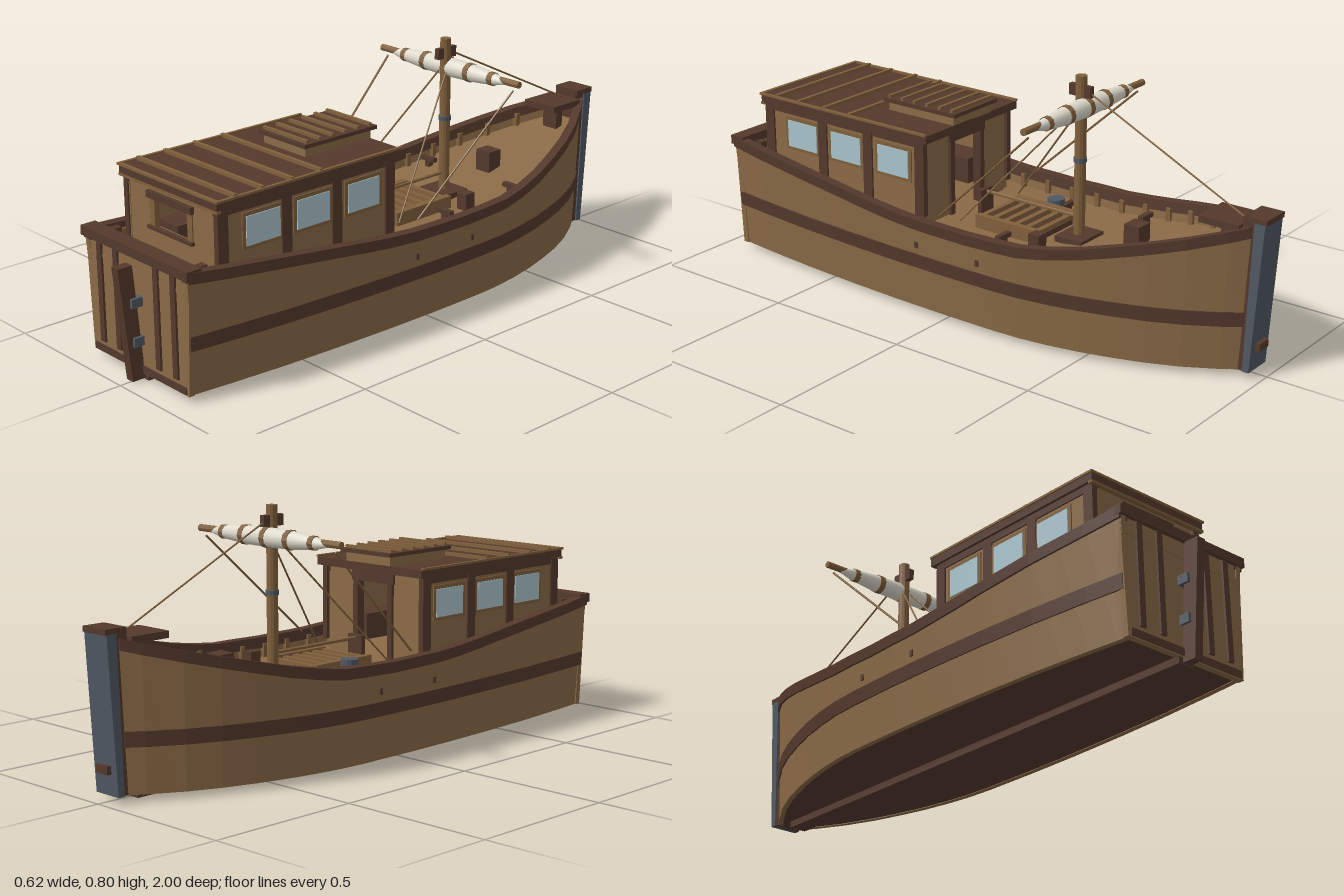
import * as THREE from 'three';

const mat = (name, color) => {
  const m = new THREE.MeshStandardMaterial({ color });
  m.name = name;
  m.flatShading = true;
  return m;
};

export function createModel() {
  const boat = new THREE.Group();
  boat.name = 'woodenBoat';
  const tan = mat('planking', 0x8a6a46);
  const dark = mat('darkTimber', 0x54392c);
  const spar = mat('sparWood', 0x80603c);
  const iron = mat('iron', 0x505862);
  const canvas = mat('canvas', 0xdedacd);
  const glass = mat('glass', 0xa9c4cc);

  const add = (name, geo, m, x = 0, y = 0, z = 0, parent = boat) => {
    const mesh = new THREE.Mesh(geo, m);
    mesh.name = name;
    mesh.position.set(x, y, z);
    parent.add(mesh);
    return mesh;
  };
  // Box from its ranges on each axis
  const box = (name, m, x0, x1, y0, y1, z0, z1) => add(name, new THREE.BoxGeometry(x1 - x0, y1 - y0, z1 - z0),
    m, (x0 + x1) / 2, (y0 + y1) / 2, (z0 + z1) / 2);
  // Box pair mirrored across x
  const pair = (name, m, x0, x1, ...r) => {
    box(name, m, x0, x1, ...r);
    box(name, m, -x1, -x0, ...r);
  };
  const rod = (name, m, a, b, r, sides = 6) => {
    const p = new THREE.Vector3(...a), q = new THREE.Vector3(...b), d = q.clone().sub(p);
    const mesh = add(name, new THREE.CylinderGeometry(r, r, d.length(), sides), m);
    mesh.position.copy(p).add(q).multiplyScalar(0.5);
    mesh.quaternion.setFromUnitVectors(new THREE.Vector3(0, 1, 0), d.normalize());
    return mesh;
  };
  // Side profile of [z, y] points, extruded across x
  const slab = (name, m, pts, width) => {
    const g = new THREE.ExtrudeGeometry(new THREE.Shape(pts.map(p => new THREE.Vector2(...p))), { depth: width, bevelEnabled: false });
    g.translate(0, 0, -width / 2).rotateY(-Math.PI / 2);
    return add(name, g, m);
  };

  // Hull lines: half width and sheer height along z
  const table = (rows) => (z) => {
    let i = 0;
    while (i < rows.length - 2 && z > rows[i + 1][0]) i++;
    const [a, b] = [rows[i], rows[i + 1]];
    return a[1] + (b[1] - a[1]) * (z - a[0]) / (b[0] - a[0]);
  };
  const half = table([[-0.95, 0.045], [-0.9, 0.083], [-0.8, 0.145], [-0.7, 0.192], [-0.6, 0.228], [-0.5, 0.258],
    [-0.4, 0.28], [-0.3, 0.295], [-0.2, 0.301], [0, 0.303], [0.2, 0.3], [0.4, 0.292], [0.6, 0.28], [0.8, 0.261], [0.93, 0.246]]);
  const sheer = table([[-0.95, 0.475], [-0.9, 0.46], [-0.75, 0.42], [-0.6, 0.385], [-0.45, 0.35], [-0.3, 0.33],
    [-0.1, 0.325], [0.1, 0.328], [0.25, 0.338], [0.4, 0.355], [0.6, 0.375], [0.8, 0.392], [0.93, 0.405]]);
  const stations = [-0.95, -0.9];
  for (let i = -8; i <= 9; i++) stations.push(i / 10);
  stations.push(0.93);
  const deckY = (z) => sheer(z) - 0.065;
  const hullPoint = (z, y, out) => {
    const t = y / sheer(z);
    return [Math.max(0.005, half(z) * (0.91 + 0.09 * t) + out), y, z * (0.98 + 0.02 * t)];
  };

  // Joins rings of points; closed rings get end caps
  const loft = (name, m, rings) => {
    const pos = [], n = rings[0].length;
    const quad = (a, b, c, d) => pos.push(...a, ...b, ...c, ...a, ...c, ...d);
    for (let i = 0; i + 1 < rings.length; i++)
      for (let j = 0; j < n; j++) {
        const k = (j + 1) % n;
        quad(rings[i][j], rings[i][k], rings[i + 1][k], rings[i + 1][j]);
      }
    quad(...[...rings[0]].reverse());
    quad(...rings[rings.length - 1]);
    const g = new THREE.BufferGeometry();
    g.setAttribute('position', new THREE.Float32BufferAttribute(pos, 3));
    g.computeVertexNormals();
    return add(name, g, m);
  };
  // Strake following the hull, mirrored to both sides
  const strake = (name, m, low, high, inner, outer) => [1, -1].forEach(s => loft(name, m, stations.map(z => {
    const ring = [hullPoint(z, low(z), inner), hullPoint(z, low(z), outer), hullPoint(z, high(z), outer), hullPoint(z, high(z), inner)]
      .map(([x, y, w]) => [x * s, y, w]);
    return s > 0 ? ring : ring.reverse();
  })));
  // Full-width floor following the hull
  const floor = (name, m, y, thick, inset) => loft(name, m, stations.map(z => {
    const [x, , w] = hullPoint(z, y(z), -inset);
    return [[-x, y(z) - thick, w], [x, y(z) - thick, w], [x, y(z), w], [-x, y(z), w]];
  }));
  strake('hullSide', tan, () => 0.02, z => sheer(z) - 0.01, -0.018, 0);
  strake('wale', dark, () => 0.16, () => 0.206, -0.01, 0.005);
  strake('gunwale', dark, z => sheer(z) - 0.035, sheer, -0.026, 0.007);
  floor('hullBottom', dark, () => 0.035, 0.013, 0.004);
  floor('deck', tan, deckY, 0.012, 0.012);
  box('keel', dark, -0.03, 0.03, 0, 0.024, -0.88, 0.92);

  // Deck seams and bulwark ribs
  for (let z = -0.8; z < 0.9; z += 0.1) {
    const x = half(z) - 0.035;
    pair('rib', spar, x, x + 0.02, deckY(z), sheer(z) - 0.02, z - 0.008, z + 0.008);
  }

  // Transom with battens, rail and rudder
  const tr = new THREE.Shape([[-0.23, 0.02], [0.23, 0.02], [0.246, 0.395], [-0.246, 0.395]].map(p => new THREE.Vector2(...p)));
  add('transom', new THREE.ExtrudeGeometry(tr, { depth: 0.02, bevelEnabled: false }), tan, 0, 0, 0.905);
  box('transomRail', dark, -0.254, 0.254, 0.38, 0.41, 0.885, 0.938);
  box('transomFoot', dark, -0.22, 0.22, 0.024, 0.046, 0.915, 0.929);
  [0.085, 0.165].forEach(x => pair('transomBatten', dark, x, x + 0.022, 0.06, 0.378, 0.92, 0.932));
  slab('rudder', dark, [[0.92, 0.005], [0.965, 0.005], [1, 0.365], [0.95, 0.365]], 0.03);
  [0.128, 0.25].forEach(y => {
    box('pintle', iron, -0.025, 0.025, y - 0.014, y + 0.014, 0.92, 0.955 + y * 0.03);
  });
  pair('sternBitt', dark, 0.19, 0.215, 0.33, 0.395, 0.835, 0.86);

  // Stem post, iron facing, fairlead and bow platform
  slab('stem', dark, [[-0.955, 0.02], [-0.92, 0.02], [-0.92, 0.5], [-0.968, 0.5]], 0.09);
  slab('stemFacing', iron, [[-0.965, 0.02], [-0.943, 0.02], [-0.96, 0.49], [-0.995, 0.49]], 0.1);
  box('stemCap', dark, -0.05, 0.05, 0.488, 0.505, -1, -0.925);
  box('stemBlock', dark, -0.025, 0.025, 0.085, 0.11, -0.985, -0.955);
  box('bowPlatform', dark, -0.067, 0.067, 0.457, 0.478, -0.92, -0.785);
  box('bowPlatformPost', dark, -0.03, 0.03, 0.34, 0.46, -0.87, -0.84);

  // Cabin walls, with an aft opening and a forward door
  pair('cabinSide', tan, 0.198, 0.216, 0.27, 0.55, 0.13, 0.795);
  pair('cabinAftWall', tan, 0.1, 0.2, 0.32, 0.55, 0.777, 0.793);
  box('cabinAftHeader', tan, -0.1, 0.1, 0.515, 0.55, 0.777, 0.793);
  box('cabinAftLower', tan, -0.1, 0.1, 0.32, 0.412, 0.777, 0.793);
  box('aftLintel', dark, -0.106, 0.106, 0.504, 0.526, 0.79, 0.806);
  box('aftSill', dark, -0.106, 0.106, 0.408, 0.418, 0.79, 0.806);
  pair('aftJamb', spar, 0.077, 0.1, 0.412, 0.505, 0.78, 0.797);
  pair('cabinFrontWall', tan, 0.075, 0.2, 0.25, 0.55, 0.13, 0.146);
  box('doorHeader', dark, -0.09, 0.09, 0.51, 0.55, 0.12, 0.146);
  pair('doorJamb', dark, 0.065, 0.085, 0.25, 0.52, 0.12, 0.15);
  pair('cabinBench', dark, 0.1, 0.198, 0.3, 0.385, 0.2, 0.7);
  [0.13, 0.345, 0.54, 0.775].forEach(z => pair('cabinPost', dark, 0.203, 0.222, 0.3, 0.545, z - 0.012, z + 0.025));
  pair('cabinTopBeam', dark, 0.2, 0.221, 0.525, 0.547, 0.125, 0.8);
  [0.635, 0.445, 0.245].forEach(z => {
    pair('windowFrame', spar, 0.21, 0.22, 0.403, 0.516, z - 0.075, z + 0.075);
    pair('windowPane', glass, 0.217, 0.223, 0.414, 0.504, z - 0.063, z + 0.063);
  });

  // Cabin roof, battens and sliding hatch
  box('roof', dark, -0.23, 0.23, 0.547, 0.573, 0.1, 0.808);
  pair('roofEdge', spar, 0.225, 0.235, 0.572, 0.579, 0.1, 0.81);
  box('roofAftEdge', spar, -0.235, 0.235, 0.572, 0.579, 0.8, 0.812);
  box('roofLowerTrim', spar, -0.232, 0.232, 0.54, 0.548, 0.795, 0.81);
  [0.42, 0.53, 0.64, 0.74].forEach(z => box('roofBatten', spar, -0.23, 0.23, 0.57, 0.584, z - 0.006, z + 0.006));
  box('hatchCoaming', tan, -0.095, 0.095, 0.57, 0.605, 0.1, 0.365);
  box('hatchCover', dark, -0.108, 0.108, 0.603, 0.615, 0.085, 0.378);
  for (let i = 0; i < 6; i++) box('hatchBatten', spar, -0.1, 0.1, 0.613, 0.625, 0.1 + i * 0.051, 0.11 + i * 0.051);

  // Mast, iron band and masthead blocks
  rod('mast', spar, [0, 0.25, -0.32], [0, 0.795, -0.32], 0.018, 12);
  rod('mastBand', iron, [0, 0.52, -0.32], [0, 0.535, -0.32], 0.021, 12);
  box('mastheadBlock', dark, -0.009, 0.009, 0.73, 0.765, -0.36, -0.28);
  box('mastStep', dark, -0.06, 0.06, 0.26, 0.285, -0.37, -0.27);

  // Yard with the furled sail and its ties
  const yz = -0.335;
  rod('yard', spar, [-0.31, 0.7, yz], [0.31, 0.7, yz], 0.011, 10);
  const profile = [[0.008, -0.255], [0.02, -0.2], [0.029, -0.1], [0.031, 0], [0.029, 0.1], [0.02, 0.2], [0.008, 0.255]];
  const smoothCanvas = canvas;
  smoothCanvas.flatShading = false;
  const sail = add('furledSail', new THREE.LatheGeometry(profile.map(p => new THREE.Vector2(...p)), 16), smoothCanvas, 0, 0.697, yz);
  sail.rotation.z = Math.PI / 2;
  [[-0.195, 0.022], [-0.098, 0.031], [0, 0.033], [0.098, 0.031], [0.195, 0.022]].forEach(([x, r]) =>
    rod('sailTie', spar, [x - 0.01, 0.697, yz], [x + 0.01, 0.697, yz], r, 10));

  // Rigging
  rod('forestay', spar, [0, 0.755, -0.33], [0, 0.46, -0.94], 0.003);
  [1, -1].forEach(s => {
    rod('shroud', spar, [s * 0.015, 0.69, -0.31], [s * 0.15, 0.29, 0.03], 0.003);
    rod('yardBrace', spar, [s * 0.284, 0.677, yz], [s * 0.243, 0.33, 0.04], 0.0035);
  });

  // Deck grating, rail and fittings
  box('gratingBase', dark, -0.1, 0.1, 0.255, 0.285, -0.23, -0.01);
  pair('gratingSide', spar, 0.09, 0.112, 0.26, 0.305, -0.24, 0);
  for (let i = 0; i < 6; i++) box('gratingSlat', spar, -0.1, 0.1, 0.283, 0.3, -0.235 + i * 0.043, -0.217 + i * 0.043);
  rod('deckPole', spar, [0, 0.34, -0.31], [0, 0.34, 0.05], 0.006);
  box('deckPolePost', dark, -0.03, 0.03, 0.26, 0.35, 0.04, 0.055);
  box('foreBitt', dark, -0.03, 0.03, 0.29, 0.37, -0.56, -0.505);
  [[0.16, -0.44], [0.14, -0.155]].forEach(([x, z]) => {
    pair('cleat', dark, x, x + 0.06, deckY(z) + 0.02, deckY(z) + 0.035, z - 0.009, z + 0.009);
    pair('cleatFoot', dark, x + 0.02, x + 0.04, deckY(z), deckY(z) + 0.03, z - 0.009, z + 0.009);
  });
  rod('bucket', iron, [-0.14, 0.26, -0.13], [-0.14, 0.315, -0.13], 0.028, 12);
  box('pinPost', dark, 0.13, 0.17, 0.26, 0.32, -0.29, -0.25);
  [0.09, -0.15].forEach(z => pair('scupper', dark, half(z) - 0.02, half(z) - 0.004, 0.228, 0.248, z - 0.006, z + 0.006));
  return boat;
}
